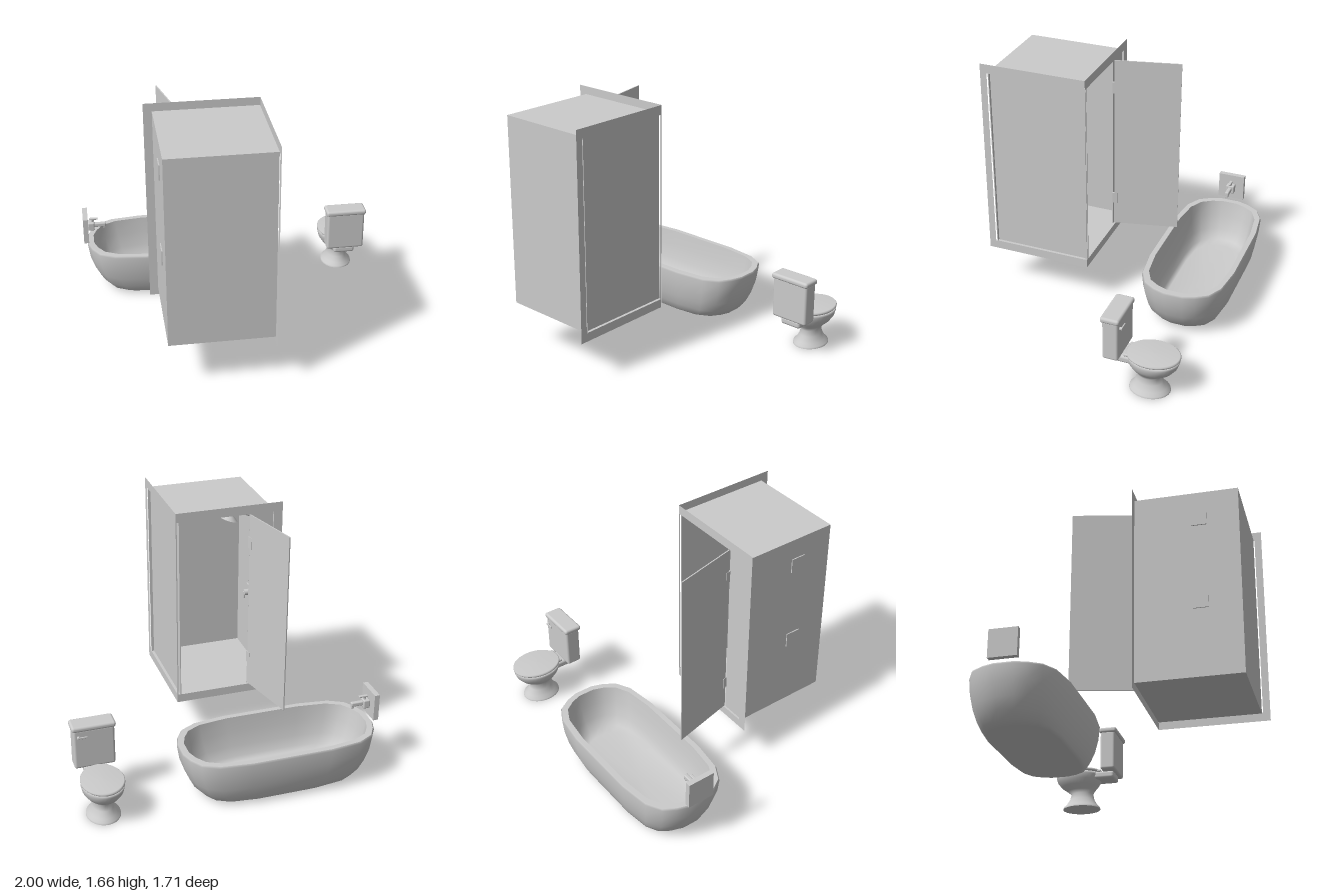
import * as THREE from 'three';
import { RoundedBoxGeometry } from 'three/addons/geometries/RoundedBoxGeometry.js';

const mat = new THREE.MeshStandardMaterial({ color: 0xcccccc, side: THREE.DoubleSide });

function add(parent, name, geo, x = 0, y = 0, z = 0) {
  const m = new THREE.Mesh(geo, mat);
  m.name = name;
  m.position.set(x, y, z);
  parent.add(m);
  return m;
}

// Box given by its extents; r rounds the edges
function block(parent, name, [x0, x1], [y0, y1], [z0, z1], r = 0) {
  const s = [x1 - x0, y1 - y0, z1 - z0];
  const geo = r ? new RoundedBoxGeometry(...s, 3, r) : new THREE.BoxGeometry(...s);
  return add(parent, name, geo, (x0 + x1) / 2, (y0 + y1) / 2, (z0 + z1) / 2);
}

// Skin over rings [y, halfX, halfZ, offsetZ]; a repeated ring makes a sharp edge
function loft(outline, rings) {
  const n = outline.length, pos = [], idx = [];
  for (const [y, rx, rz, cz = 0] of rings) {
    for (const [u, v] of outline) pos.push(u * rx, y, v * rz + cz);
  }
  for (let i = 0; i < rings.length - 1; i++) {
    for (let j = 0; j < n; j++) {
      const a = i * n + j, b = i * n + (j + 1) % n;
      idx.push(a, a + n, b, b, a + n, b + n);
    }
  }
  const g = new THREE.BufferGeometry();
  g.setAttribute('position', new THREE.Float32BufferAttribute(pos, 3));
  g.setIndex(idx);
  g.computeVertexNormals();
  return g;
}

// Flat rectangle with a rectangular hole, in the XY plane
function frameGeometry([x0, x1, y0, y1], [hx0, hx1, hy0, hy1]) {
  const rect = (C, a, b, c, d) => new C([[a, c], [b, c], [b, d], [a, d]].map(p => new THREE.Vector2(...p)));
  const s = rect(THREE.Shape, x0, x1, y0, y1);
  s.holes.push(rect(THREE.Path, hx0, hx1, hy0, hy1));
  return new THREE.ShapeGeometry(s);
}

function makeTub() {
  const g = new THREE.Group();
  g.name = 'bathtub';
  // Quarter of the faceted oval outline, mirrored to all four corners
  const q = [[1, 0.21], [0.96, 0.47], [0.885, 0.73], [0.73, 0.91], [0.41, 1]];
  const r = [...q].reverse();
  const outline = [
    ...q, ...r.map(([x, z]) => [-x, z]),
    ...q.map(([x, z]) => [-x, -z]), ...r.map(([x, z]) => [x, -z]),
  ];
  const shell = loft(outline, [
    [0.012, 0, 0], [0.012, 0.48, 0.215], [0.03, 0.53, 0.235], [0.08, 0.575, 0.258], [0.15, 0.61, 0.28],
    [0.24, 0.641, 0.296], [0.335, 0.655, 0.303], [0.348, 0.648, 0.297], [0.348, 0.648, 0.297],
    [0.348, 0.61, 0.262], [0.348, 0.61, 0.262], [0.24, 0.59, 0.25], [0.14, 0.56, 0.23],
    [0.075, 0.52, 0.205], [0.05, 0.47, 0.18], [0.05, 0, 0],
  ]);
  add(g, 'tubShell', shell, -0.32, 0, -0.553);
  // Tap on its wall plate
  block(g, 'tapPlate', [-1, -0.965], [0.37, 0.555], [-0.645, -0.46]);
  block(g, 'tapBody', [-0.966, -0.92], [0.43, 0.49], [-0.585, -0.525], 0.008);
  block(g, 'tapSpout', [-0.93, -0.84], [0.448, 0.478], [-0.569, -0.541], 0.008);
  block(g, 'tapNozzle', [-0.862, -0.84], [0.435, 0.465], [-0.566, -0.544], 0.006);
  add(g, 'tapStem', new THREE.CylinderGeometry(0.009, 0.009, 0.03, 16), -0.935, 0.5, -0.555);
  block(g, 'tapLever', [-0.957, -0.895], [0.505, 0.517], [-0.565, -0.545], 0.004);
  return g;
}

function makeToilet() {
  const g = new THREE.Group();
  g.name = 'toilet';
  const oval = Array.from({ length: 36 }, (_, i) => {
    const t = i / 36 * Math.PI * 2;
    return [Math.cos(t), Math.sin(t)];
  });
  add(g, 'bowlAndFoot', loft(oval, [
    [0, 0, 0, -0.595], [0, 0.11, 0.133, -0.595], [0, 0.11, 0.133, -0.595],
    [0.012, 0.108, 0.131, -0.595], [0.03, 0.088, 0.112, -0.595], [0.07, 0.07, 0.088, -0.593],
    [0.11, 0.062, 0.078, -0.592], [0.135, 0.075, 0.098, -0.6], [0.165, 0.106, 0.132, -0.61],
    [0.2, 0.129, 0.156, -0.614], [0.235, 0.137, 0.167, -0.615], [0.252, 0.134, 0.165, -0.615],
    [0.252, 0, 0, -0.615],
  ]), 0.855);
  add(g, 'seatLid', loft(oval, [
    [0.254, 0, 0, -0.615], [0.254, 0.134, 0.167, -0.615], [0.26, 0.139, 0.172, -0.615],
    [0.268, 0.139, 0.172, -0.615], [0.275, 0.132, 0.165, -0.615], [0.277, 0, 0, -0.615],
  ]), 0.855);
  block(g, 'rearSupport', [0.78, 0.93], [0.2, 0.252], [-0.5, -0.345], 0.018);
  block(g, 'seatHinge', [0.785, 0.925], [0.248, 0.268], [-0.475, -0.44], 0.008);
  block(g, 'tank', [0.722, 0.988], [0.248, 0.53], [-0.43, -0.325], 0.016);
  block(g, 'tankLid', [0.713, 0.997], [0.517, 0.555], [-0.438, -0.313], 0.016);
  const pivot = add(g, 'flushPivot', new THREE.CylinderGeometry(0.01, 0.01, 0.018, 16), 0.955, 0.48, -0.436);
  pivot.rotation.x = Math.PI / 2;
  block(g, 'flushLever', [0.9, 0.965], [0.474, 0.488], [-0.448, -0.44], 0.003);
  return g;
}

function makeShower() {
  const g = new THREE.Group();
  g.name = 'showerCabin';
  const X = [-0.533, 0.143], Y = [0.328, 1.61], Z = [0.125, 0.803], t = 0.006;
  // Thin walls, floor and ceiling; the -z side holds the doorway
  block(g, 'frontWall', X, Y, [Z[1] - t, Z[1]]);
  block(g, 'tapWall', [X[0], X[0] + t], Y, Z);
  block(g, 'sidePanel', [0.118, 0.124], Y, Z);
  block(g, 'floor', X, [Y[0], Y[0] + t], Z);
  block(g, 'ceiling', X, [Y[1] - t, Y[1]], Z);
  block(g, 'fixedPanel', [X[0], -0.365], Y, [0.138, 0.144]);

  // Flat trim around the side panel and around the doorway
  add(g, 'doorwayTrim', frameGeometry([-0.588, 0.145, 0.276, 1.664], [-0.53, 0.138, 0.334, 1.602]), 0, 0, 0.125);
  const side = add(g, 'sideTrim', frameGeometry([-0.857, -0.127, 0.276, 1.664], [-0.81, -0.135, 0.334, 1.602]), 0.145);
  side.rotation.y = Math.PI / 2;

  // Door swung open on its hinge line
  const door = new THREE.Group();
  door.name = 'door';
  door.position.set(-0.365, 0, 0.128);
  door.rotation.y = Math.atan2(0.435, -0.102);
  g.add(door);
  block(door, 'doorPanel', [0, 0.449], [0.347, 1.598], [-0.004, 0.004]);
  for (const y of [0.55, 1.4]) block(door, 'hinge', [-0.012, 0.025], [y - 0.04, y + 0.04], [-0.007, 0.007]);

  // Shower head and mixer, each on a plate set in the tap wall
  for (const y of [1.42, 0.835]) block(g, 'wallPlate', [-0.54, -0.515], [y - 0.05, y + 0.05], [0.495, 0.595]);
  const arm = new THREE.CatmullRomCurve3([
    new THREE.Vector3(-0.52, 1.42, 0.545), new THREE.Vector3(-0.45, 1.445, 0.545), new THREE.Vector3(-0.37, 1.435, 0.545),
  ]);
  add(g, 'showerArm', new THREE.TubeGeometry(arm, 12, 0.01, 12));
  const head = add(g, 'showerHead', new THREE.CylinderGeometry(0.025, 0.062, 0.03, 28), -0.365, 1.425, 0.545);
  head.rotation.z = 0.3;
  const knob = add(g, 'mixerKnob', new THREE.CylinderGeometry(0.022, 0.022, 0.04, 20), -0.5, 0.835, 0.545);
  knob.rotation.z = Math.PI / 2;
  block(g, 'mixerLever', [-0.488, -0.476], [0.79, 0.845], [0.538, 0.552], 0.004);
  return g;
}

export function createModel() {
  const model = new THREE.Group();
  model.name = 'bathroomSet';
  model.add(makeTub(), makeToilet(), makeShower());
  return model;
}
